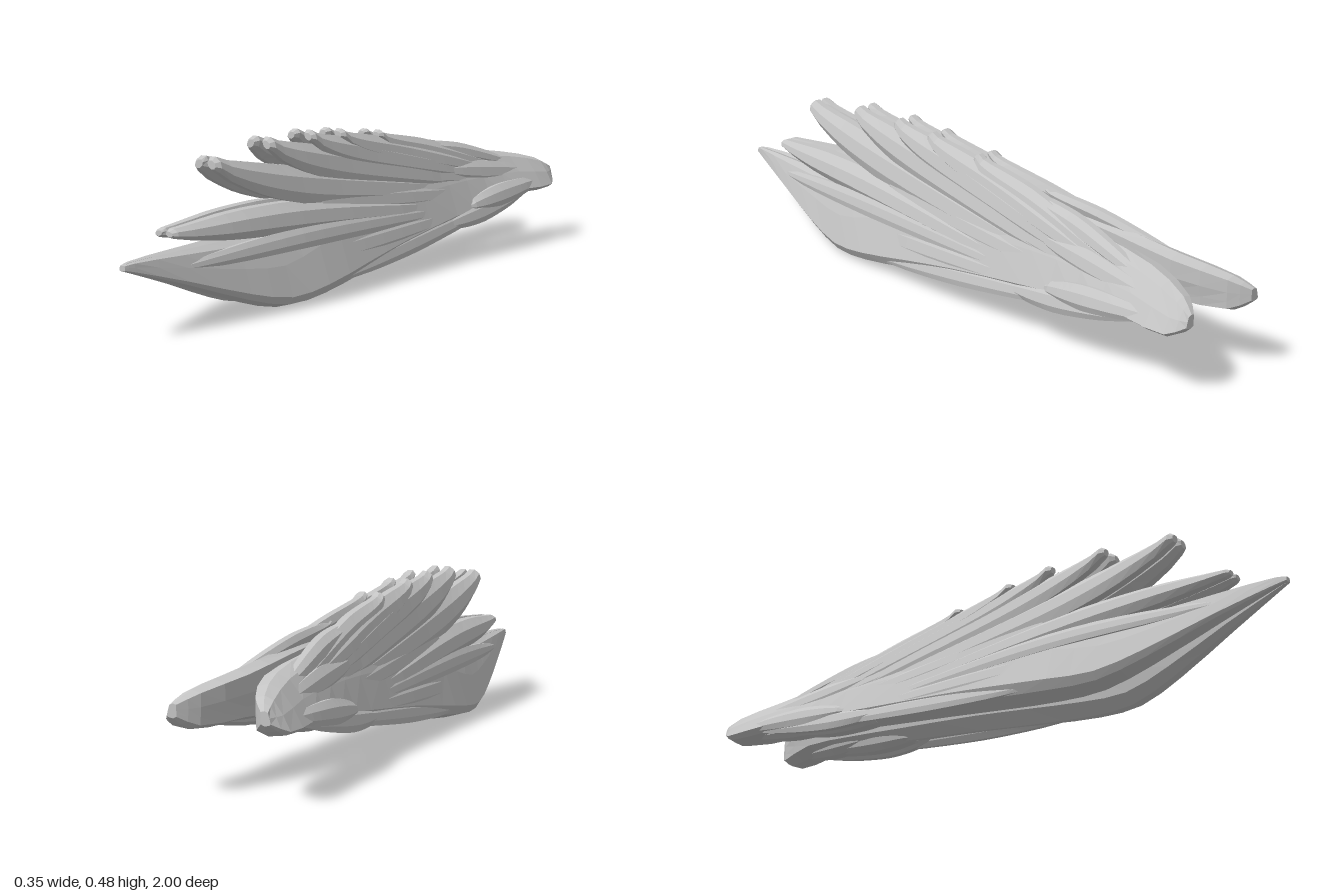
import * as THREE from 'three';

const grey = new THREE.MeshStandardMaterial({ color: 0xc4c4c4, flatShading: true });
grey.name = 'feather grey';

// Skin a list of rings (counter-clockwise seen from +z, ordered towards +z); side -1 mirrors in x
function loft(name, rings, side) {
  const n = rings[0].length, pos = [], idx = [];
  const tri = (a, b, c) => (side > 0 ? idx.push(a, b, c) : idx.push(a, c, b));
  for (const ring of rings) for (const [x, y, z] of ring) pos.push(x * side, y, z);
  for (let i = 0; i < rings.length - 1; i++) {
    for (let j = 0; j < n; j++) {
      const a = i * n + j, b = i * n + (j + 1) % n;
      tri(a, b, b + n);
      tri(a, b + n, a + n);
    }
  }
  const last = (rings.length - 1) * n;
  for (let j = 1; j < n - 1; j++) {
    tri(0, j + 1, j);
    tri(last, last + j, last + j + 1);
  }
  const g = new THREE.BufferGeometry();
  g.setAttribute('position', new THREE.Float32BufferAttribute(pos, 3));
  g.setIndex(idx);
  g.computeVertexNormals();
  const mesh = new THREE.Mesh(g, grey);
  mesh.name = name;
  return mesh;
}

// Wing blade stations: z, bottom y, top y, inner/outer x low, inner/outer x high
const BLADE = [
  [-1, 0.208, 0.246, 0.12, 0.148, 0.12, 0.14],
  [-0.95, 0.173, 0.275, 0.08, 0.177, 0.078, 0.13],
  [-0.8, 0.168, 0.308, 0.035, 0.165, 0.022, 0.095],
  [-0.6, 0.143, 0.335, 0.032, 0.145, 0.014, 0.074],
  [-0.4, 0.112, 0.355, 0.032, 0.138, 0.008, 0.062],
  [-0.1, 0.068, 0.358, 0.03, 0.138, 0.002, 0.056],
  [0.1, 0.036, 0.335, 0.03, 0.142, 0.001, 0.058],
  [0.3, 0.008, 0.28, 0.03, 0.143, 0.001, 0.064],
  [0.45, 0.003, 0.225, 0.032, 0.127, 0.001, 0.07],
  [0.6, 0.043, 0.215, 0.022, 0.1, 0.001, 0.054],
  [0.8, 0.118, 0.212, 0.008, 0.058, 0.001, 0.036],
  [0.97, 0.178, 0.208, 0.001, 0.018, 0.001, 0.015],
  [1, 0.188, 0.203, 0, 0.01, 0, 0.008],
];

function bladeRing([z, yb, yt, xi, xo, ti, to]) {
  const y = (f) => yb + (yt - yb) * f;
  return [
    [xi * 0.65 + xo * 0.35, yb, z], [xo * 0.85 + xi * 0.15, y(0.06), z], [xo, y(0.16), z],
    [xo * 0.55 + to * 0.45, y(0.55), z], [to, y(0.9), z], [(ti + to) / 2, yt, z],
    [ti, y(0.93), z], [ti, y(0.58), z], [xi * 0.7 + ti * 0.3, y(0.32), z], [xi, y(0.12), z],
  ];
}

// Round the blade by running a curve through each ring corner
function bladeRings() {
  const rough = BLADE.map(bladeRing), steps = (BLADE.length - 1) * 2;
  const rails = rough[0].map((_, j) => new THREE.CatmullRomCurve3(rough.map((r) => new THREE.Vector3(...r[j]))));
  return Array.from({ length: steps + 1 }, (_, i) => rails.map((rail) => {
    const p = rail.getPoint(i / steps);
    return [Math.max(0, p.x), Math.max(0, p.y), p.z];
  }));
}

// A feather swells from its root, thins along its length and curls up into a blunt tip
function feather(name, { tip, root, mid, w, h, curl = 0.018, end = 0.4 }, side) {
  const path = new THREE.CatmullRomCurve3([root, mid, tip].map((p) => new THREE.Vector3(...p)));
  const size = new THREE.CatmullRomCurve3([
    [0.2, 0.2], [0.85, 0.8], [1, 1], [0.98, 0.85], [end * 1.85, end],
  ].map(([a, b]) => new THREE.Vector3(w * a, h * b, 0)));
  const rings = [], steps = 14, sides = 8;
  // two last rings close together round off the tip
  for (let i = 0; i <= steps + 1; i++) {
    const t = Math.min(1, i / steps), c = path.getPoint(t), s = size.getPoint(t);
    const lift = curl * (t ** 8 - 0.6 * Math.sin(Math.PI * t));
    const round = i > steps ? 0.55 : 1;
    const ring = [];
    for (let j = 0; j < sides; j++) {
      const a = ((j + 0.5) / sides) * Math.PI * 2;
      // the upper edge leans inwards, following the blade
      const dy = Math.sin(a) * s.y * round;
      const x = c.x + Math.cos(a) * s.x * round - dy * 0.3;
      ring.push([Math.max(0.001, x), c.y + lift + dy, c.z - (i === steps ? 0.014 : 0)]);
    }
    rings.push(ring);
  }
  return loft(name, rings, side);
}

// Points are x, y, z
const FLIGHT = [
  { tip: [0.018, 0.257, 0.84], mid: [0.053, 0.247, 0.35], root: [0.11, 0.17, -0.5], w: 0.038, h: 0.047, curl: 0.004, end: 0.3 },
  { tip: [0.022, 0.406, 0.67], mid: [0.04, 0.33, 0.25], root: [0.098, 0.21, -0.6], w: 0.033, h: 0.058 },
  { tip: [0.028, 0.437, 0.44], mid: [0.04, 0.37, 0.08], root: [0.096, 0.225, -0.65], w: 0.031, h: 0.056 },
  { tip: [0.03, 0.441, 0.25], mid: [0.039, 0.386, -0.05], root: [0.095, 0.24, -0.7], w: 0.03, h: 0.05 },
  { tip: [0.028, 0.433, 0.1], mid: [0.038, 0.386, -0.17], root: [0.095, 0.25, -0.75], w: 0.03, h: 0.044 },
  { tip: [0.028, 0.413, -0.1], mid: [0.04, 0.373, -0.34], root: [0.095, 0.25, -0.8], w: 0.028, h: 0.038 },
  { tip: [0.03, 0.37, -0.33], mid: [0.05, 0.343, -0.53], root: [0.095, 0.26, -0.86], w: 0.027, h: 0.03, curl: 0.008 },
];

// Shorter feathers melting into the outer face, the shoulder, the lower edge and the underside
const COVERTS = [
  { tip: [0.04, 0.172, 0.8], mid: [0.096, 0.19, 0.28], root: [0.12, 0.165, -0.55], w: 0.013, h: 0.032 },
  { tip: [0.066, 0.115, 0.6], mid: [0.11, 0.135, 0.1], root: [0.122, 0.16, -0.6], w: 0.018, h: 0.04 },
  { tip: [0.06, 0.275, 0.25], mid: [0.083, 0.24, -0.12], root: [0.113, 0.2, -0.7], w: 0.018, h: 0.04 },
  { tip: [0.052, 0.325, -0.02], mid: [0.073, 0.285, -0.33], root: [0.112, 0.22, -0.8], w: 0.018, h: 0.038 },
  { tip: [0.12, 0.055, 0.25], mid: [0.128, 0.102, -0.15], root: [0.13, 0.165, -0.7], w: 0.015, h: 0.032 },
  { tip: [0.122, 0.128, -0.34], mid: [0.134, 0.147, -0.54], root: [0.145, 0.19, -0.85], w: 0.022, h: 0.036 },
  { tip: [0.125, 0.17, -0.48], mid: [0.14, 0.188, -0.65], root: [0.15, 0.21, -0.92], w: 0.024, h: 0.036 },
  { tip: [0.072, 0.29, -0.4], mid: [0.093, 0.265, -0.62], root: [0.125, 0.235, -0.93], w: 0.022, h: 0.038 },
  { tip: [0.085, 0.12, -0.38], mid: [0.088, 0.14, -0.55], root: [0.105, 0.18, -0.8], w: 0.04, h: 0.026 },
  { tip: [0.08, 0.155, -0.57], mid: [0.09, 0.168, -0.72], root: [0.115, 0.195, -0.93], w: 0.042, h: 0.024 },
];

export function createModel() {
  const model = new THREE.Group();
  model.name = 'foldedWings';
  for (const side of [1, -1]) {
    const wing = new THREE.Group();
    wing.name = side > 0 ? 'leftWing' : 'rightWing';
    wing.add(loft('wingBlade', bladeRings(), side));
    FLIGHT.forEach((f, i) => wing.add(feather(`flightFeather${i + 1}`, f, side)));
    COVERTS.forEach((f, i) => wing.add(feather(`covertFeather${i + 1}`, { curl: 0, ...f }, side)));
    model.add(wing);
  }
  return model;
}
